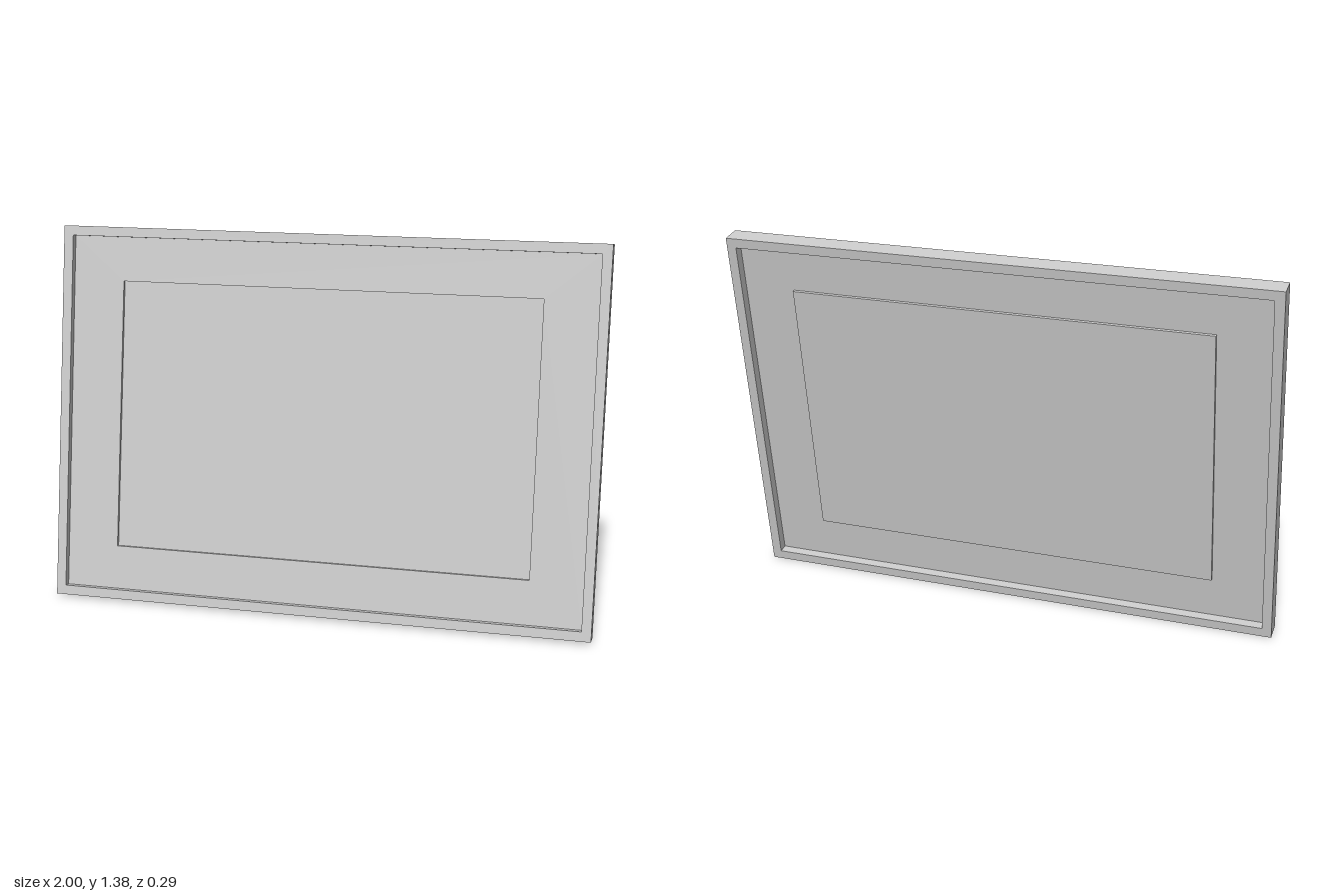
import * as THREE from 'three';

const WIDTH = 2, HEIGHT = 1.383, DEPTH = 0.073;   // outer frame
const BAR = 0.035;                                // frame bar width
const OPEN_W = 1.544, OPEN_H = 0.99;              // window in the mat
const SHEET = 0.012;                              // mat and picture thickness
const RECESS = 0.026;                             // mat depth behind the frame front
const TILT = THREE.MathUtils.degToRad(9);

const material = new THREE.MeshStandardMaterial({ color: 0xcccccc });

function rectangle(path, w, h) {
  path.moveTo(-w / 2, -h / 2);
  path.lineTo(w / 2, -h / 2);
  path.lineTo(w / 2, h / 2);
  path.lineTo(-w / 2, h / 2);
  path.closePath();
  return path;
}

// Rectangular ring whose front face lies at z = front
function ring(name, w, h, holeW, holeH, depth, front) {
  const shape = rectangle(new THREE.Shape(), w, h);
  shape.holes.push(rectangle(new THREE.Path(), holeW, holeH));
  const geometry = new THREE.ExtrudeGeometry(shape, { depth, bevelEnabled: false });
  geometry.translate(0, 0, front - depth);
  const mesh = new THREE.Mesh(geometry, material);
  mesh.name = name;
  return mesh;
}

export function createModel() {
  const model = new THREE.Group();
  model.name = 'pictureFrame';

  const leaning = new THREE.Group();
  leaning.name = 'leaningFrame';
  const innerW = WIDTH - 2 * BAR, innerH = HEIGHT - 2 * BAR;
  const matFront = DEPTH / 2 - RECESS;

  // Deep outer frame and the thin mat set inside it
  leaning.add(ring('frame', WIDTH, HEIGHT, innerW, innerH, DEPTH, DEPTH / 2));
  leaning.add(ring('mat', innerW, innerH, OPEN_W, OPEN_H, SHEET, matFront));

  // Picture panel, one sheet behind the mat
  const picture = new THREE.Mesh(new THREE.BoxGeometry(OPEN_W, OPEN_H, SHEET), material);
  picture.name = 'picture';
  picture.position.z = matFront - SHEET * 1.5;
  leaning.add(picture);

  // Lean back and rest the lowest edge on the ground
  leaning.rotation.x = -TILT;
  leaning.position.y = (HEIGHT * Math.cos(TILT) + DEPTH * Math.sin(TILT)) / 2;
  model.add(leaning);
  return model;
}
